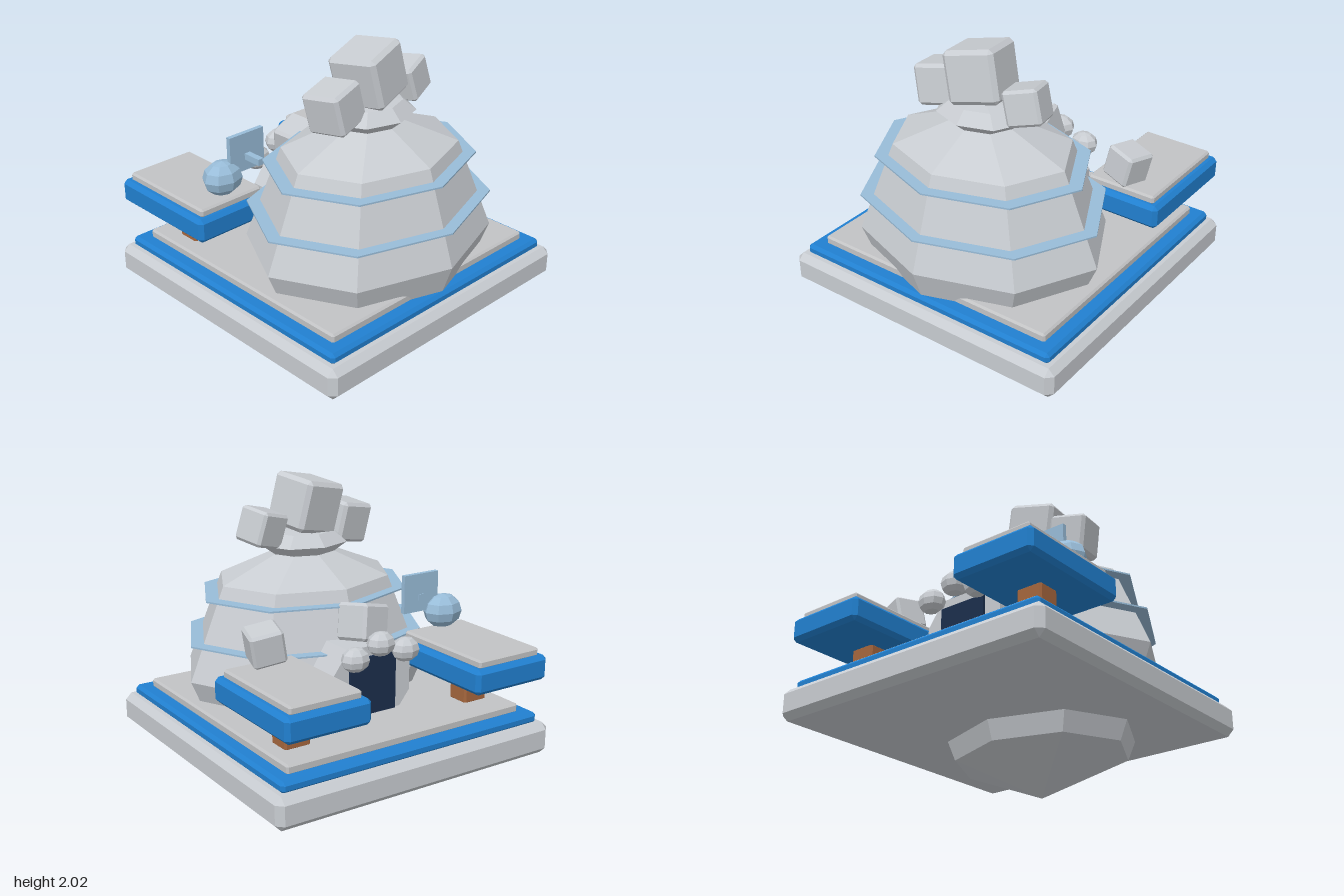
import * as THREE from 'three';
import { ConvexGeometry } from 'three/addons/geometries/ConvexGeometry.js';

export function createModel() {
  const model = new THREE.Group();
  const mat = (name, color) => {
    const m = new THREE.MeshStandardMaterial({ color, flatShading: true });
    m.name = name;
    return m;
  };
  const stone = mat('pale stone', 0xc8ccd1);
  const paving = mat('grey paving', 0xc2c3c5);
  const blue = mat('bright blue', 0x2180d0);
  const glass = mat('light blue', 0x98bcd8);
  const wood = mat('brown wood', 0xa5663d);
  const navy = mat('dark navy', 0x1b2e4c);

  const add = (name, geometry, material, x = 0, y = 0, z = 0) => {
    const mesh = new THREE.Mesh(geometry, material);
    mesh.name = name;
    mesh.position.set(x, y, z);
    model.add(mesh);
    return mesh;
  };

  // Box with chamfered edges: three points at every corner
  const chamferBox = (w, h, d, c) => {
    const pts = [];
    for (const sx of [-1, 1]) for (const sy of [-1, 1]) for (const sz of [-1, 1]) {
      for (let k = 0; k < 3; k++) {
        pts.push(new THREE.Vector3(
          sx * (w / 2 - (k === 0 ? 0 : c)),
          sy * (h / 2 - (k === 1 ? 0 : c)),
          sz * (d / 2 - (k === 2 ? 0 : c))));
      }
    }
    return new ConvexGeometry(pts);
  };
  // Chamfered slab given by its limits
  const slab = (name, material, x0, x1, y0, y1, z0, z1, c) => add(
    name, chamferBox(x1 - x0, y1 - y0, z1 - z0, c), material,
    (x0 + x1) / 2, (y0 + y1) / 2, (z0 + z1) / 2);

  // Eight-sided turned shape, flattened in depth
  const DEPTH = 0.815, CENTRE = 0.29;
  const turned = (name, profile, material) => {
    const g = new THREE.LatheGeometry(profile.map(([r, y]) => new THREE.Vector2(r, y)), 8);
    g.scale(1, 1, DEPTH);
    return add(name, g, material, 0, 0, CENTRE);
  };

  // Square stepped base
  slab('baseSlab', stone, -0.975, 0.975, 0.36, 0.56, -0.975, 0.975, 0.04);
  slab('baseStep', blue, -0.915, 0.915, 0.55, 0.62, -0.915, 0.915, 0.02);
  slab('basePaving', paving, -0.83, 0.83, 0.61, 0.67, -0.83, 0.83, 0.012);

  // Faceted dome with a pointed underside, and its cap
  turned('dome', [[0, 0], [0.58, 0.24], [0.82, 0.8], [0.58, 1.37], [0.21, 1.52], [0, 1.52]], stone);
  turned('cap', [[0, 1.5], [0.21, 1.52], [0.295, 1.58], [0.21, 1.65], [0, 1.67]], stone);

  // Thin bands around the dome
  const band = (name, inner, outer, y) => turned(name, [
    [inner, y - 0.005], [outer, y - 0.005], [outer, y + 0.005], [inner, y + 0.005], [inner, y - 0.005],
  ], glass);
  band('lowerBand', 0.69, 0.81, 1.025);
  band('upperBand', 0.58, 0.7, 1.29);

  // Rear porch: an eight-sided tunnel with a door
  const arch = new THREE.Shape([
    [-0.17, 0.62], [0.17, 0.62], [0.28, 0.76], [0.28, 0.94],
    [0.17, 1.09], [-0.17, 1.09], [-0.28, 0.94], [-0.28, 0.76],
  ].map(([x, y]) => new THREE.Vector2(x, y)));
  add('porch', new THREE.ExtrudeGeometry(arch, { depth: 0.4, bevelEnabled: false }), stone, 0, 0, -0.45);
  add('door', new THREE.BoxGeometry(0.33, 0.37, 0.02), navy, 0, 0.845, -0.456);

  // Round lamps over the door
  const ball = (name, r, material, x, y, z) => {
    const g = new THREE.SphereGeometry(r, 8, 6);
    g.scale(1, DEPTH, DEPTH);
    return add(name, g, material, x, y, z);
  };
  for (const x of [-0.18, 0, 0.18]) ball('lamp', 0.092, stone, x, x === 0 ? 1.125 : 1.06, -0.535);

  // Raised rear terraces on posts
  for (const s of [-1, 1]) {
    const side = s > 0 ? 'left' : 'right';
    slab(side + 'Terrace', blue, s * 0.645 - 0.275, s * 0.645 + 0.275, 0.85, 1.005, -0.975, -0.185, 0.025);
    slab(side + 'TerracePaving', paving, s * 0.645 - 0.23, s * 0.645 + 0.23, 0.995, 1.05, -0.935, -0.225, 0.012);
    slab(side + 'TerracePost', wood, s * 0.645 - 0.085, s * 0.645 + 0.085, 0.66, 0.86, -0.65, -0.5, 0.012);
  }

  // Tumbled blocks: name, size, position, rotation
  const blocks = [
    ['topBlockMiddle', 0.32, [-0.01, 1.82, 0.28], [-0.12, 0.2, 0.22]],
    ['topBlockRight', 0.25, [-0.29, 1.69, 0.285], [-0.12, 0.18, 0.2]],
    ['topBlockLeft', 0.215, [0.31, 1.705, 0.275], [-0.14, 0.25, 0.28]],
    ['terraceBlock', 0.2, [0.645, 1.175, -0.3], [-0.12, -0.25, -0.2]],
    ['porchBlock', 0.225, [-0.02, 1.2, -0.325], [0.15, 0.25, 0.2]],
  ];
  for (const [name, size, p, r] of blocks) {
    add(name, chamferBox(size, size, size, size * 0.08), stone, ...p).rotation.set(...r);
  }

  // Blue orb and upright panel on a bracket
  ball('orb', 0.132, glass, -0.65, 1.165, -0.3);
  add('panel', new THREE.BoxGeometry(0.26, 0.24, 0.03), glass, -0.49, 1.3, -0.27);
  add('panelBracket', new THREE.BoxGeometry(0.04, 0.04, 0.16), glass, -0.49, 1.27, -0.21);

  return model;
}
